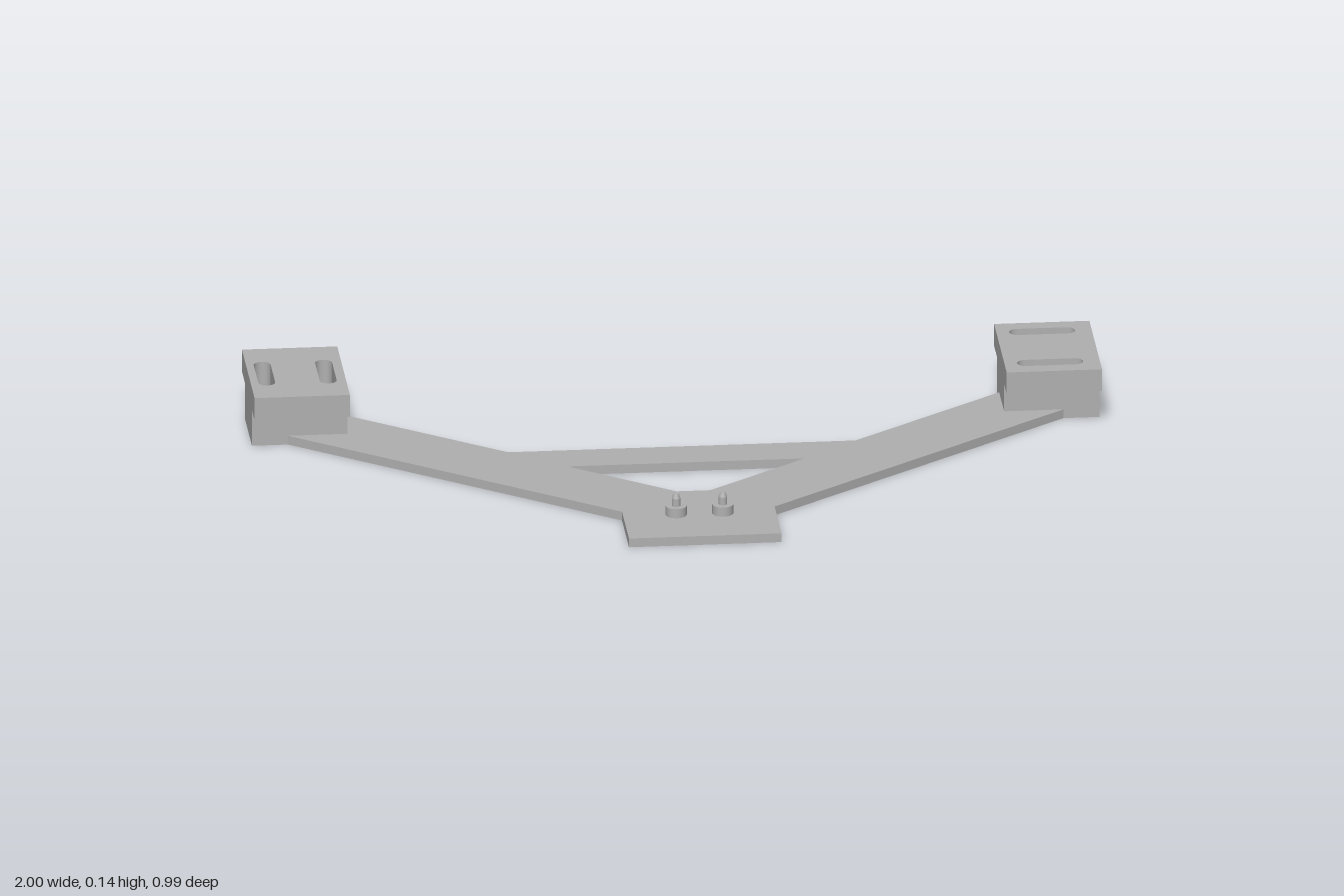
import * as THREE from 'three';

const grey = new THREE.MeshStandardMaterial({ color: 0xb0b0b0 });
grey.name = 'grey';

// Closed outline from [x, z] points
function outline(points, PathType = THREE.Shape) {
  return new PathType(points.map(([x, z]) => new THREE.Vector2(x, -z)));
}

// Rectangle outline
function rect(x0, x1, z0, z1) {
  return outline([[x0, z1], [x1, z1], [x1, z0], [x0, z0]]);
}

// Round-ended slot, running along x or along z
function slot(cx, cz, length, width, alongX) {
  const r = width / 2, h = length / 2 - r, path = new THREE.Path();
  if (alongX) {
    path.absarc(cx + h, -cz, r, -Math.PI / 2, Math.PI / 2, false);
    path.absarc(cx - h, -cz, r, Math.PI / 2, Math.PI * 1.5, false);
  } else {
    path.absarc(cx, -cz + h, r, 0, Math.PI, false);
    path.absarc(cx, -cz - h, r, Math.PI, Math.PI * 2, false);
  }
  path.closePath();
  return path;
}

// Flat slab between two heights, with holes
function slab(name, shape, y0, y1, holes = []) {
  shape.holes.push(...holes);
  const geo = new THREE.ExtrudeGeometry(shape, { depth: y1 - y0, bevelEnabled: false, curveSegments: 10 });
  geo.rotateX(-Math.PI / 2);
  geo.translate(0, y0, 0);
  const mesh = new THREE.Mesh(geo, grey);
  mesh.name = name;
  return mesh;
}

export function createModel() {
  const model = new THREE.Group();
  model.name = 'mountingBracket';

  // V-shaped base plate with a cut-out behind the front tab
  const half = [[0.18, 0.495], [0.18, 0.32], [0.915, -0.245], [0.775, -0.245], [0.775, -0.37], [0.41, -0.09]];
  const mirrored = half.map(([x, z]) => [-x, z]).reverse();
  const cutout = outline([[-0.28, 0.015], [0.28, 0.015], [0.04, 0.2], [-0.04, 0.2]], THREE.Path);
  model.add(slab('basePlate', outline([...half, ...mirrored]), 0, 0.022, [cutout]));

  // Slots reach slightly below the cap into the foot
  const pocketY = 0.081, capY = 0.09, topY = 0.145;

  // Left mount: slots run sideways and break out of the foot's front and back
  const left = new THREE.Group();
  left.name = 'leftMount';
  left.add(slab('leftFoot', rect(0.775, 1, -0.425, -0.245), 0, pocketY));
  left.add(slab('leftFootTop', outline([
    [0.775, -0.245], [0.806, -0.245], [0.812, -0.253], [0.824, -0.258], [0.942, -0.258], [0.954, -0.253],
    [0.96, -0.245], [1, -0.245], [1, -0.425], [0.954, -0.425], [0.942, -0.42], [0.824, -0.42],
    [0.812, -0.425], [0.775, -0.425],
  ]), pocketY, capY));
  left.add(slab('leftCap', rect(0.775, 1, -0.497, -0.18), capY, topY,
    [-0.44, -0.238].map((z) => slot(0.883, z, 0.156, 0.04, true))));
  model.add(left);

  // Right mount: blind slots running front to back
  const right = new THREE.Group();
  right.name = 'rightMount';
  const blindSlots = () => [-0.962, -0.817].map((x) => slot(x, -0.336, 0.154, 0.04, false));
  right.add(slab('rightFoot', rect(-1, -0.775, -0.425, -0.245), 0, pocketY));
  right.add(slab('rightFootTop', rect(-1, -0.775, -0.425, -0.245), pocketY, capY, blindSlots()));
  right.add(slab('rightCap', rect(-1, -0.775, -0.497, -0.18), capY, topY, blindSlots()));
  model.add(right);

  // Two locating pins with collars and tapered tips
  for (const side of [-1, 1]) {
    const pin = new THREE.Group();
    pin.name = side > 0 ? 'leftPin' : 'rightPin';
    const stack = [['collar', 0.025, 0.025, 0.022, 0.045], ['shaft', 0.01, 0.01, 0.045, 0.064], ['tip', 0.006, 0.01, 0.064, 0.075]];
    for (const [name, rTop, rBottom, y0, y1] of stack) {
      const part = new THREE.Mesh(new THREE.CylinderGeometry(rTop, rBottom, y1 - y0, 24), grey);
      part.name = name;
      part.position.y = (y0 + y1) / 2;
      pin.add(part);
    }
    pin.position.set(side * 0.055, 0, 0.35);
    model.add(pin);
  }
  return model;
}
